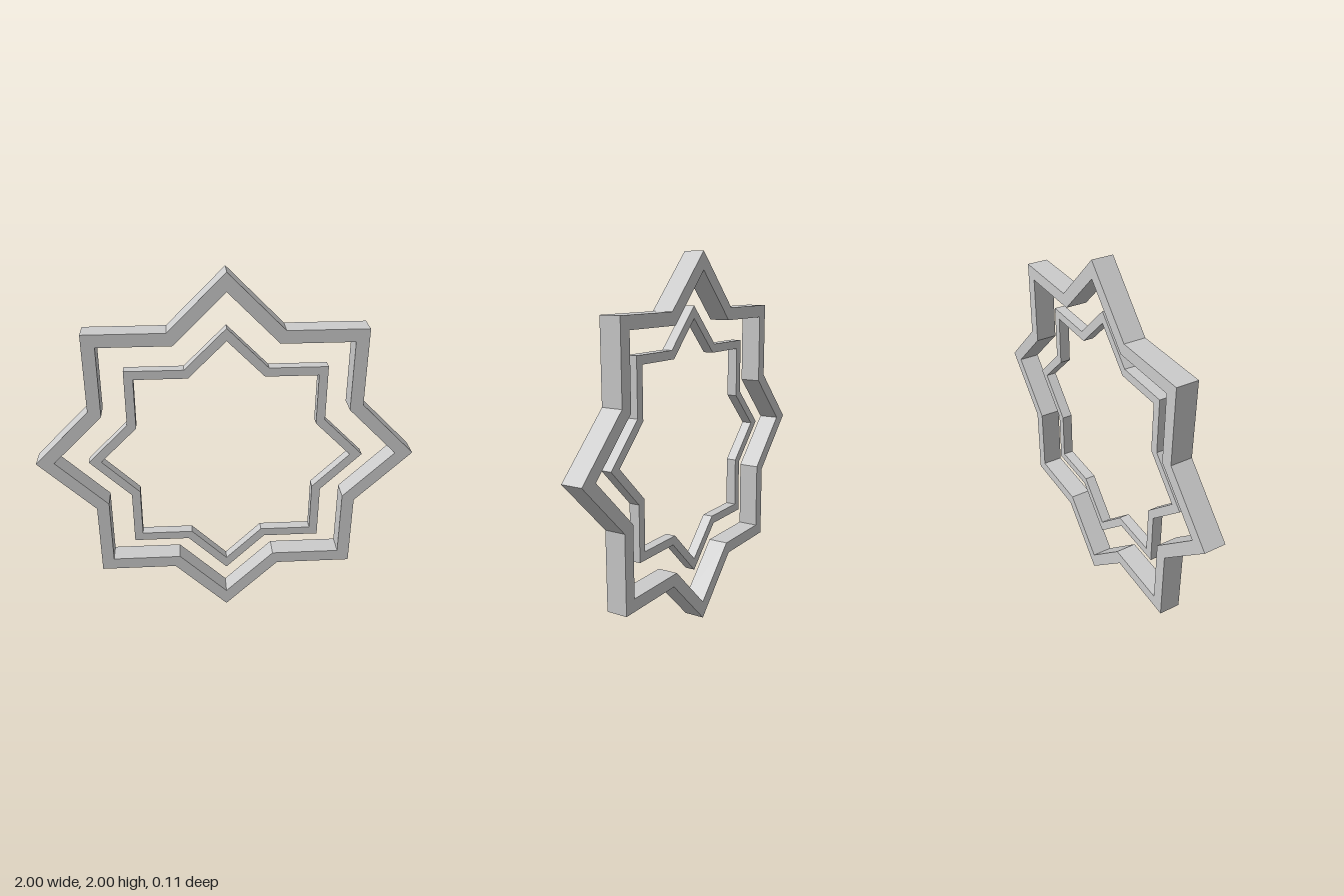
import * as THREE from 'three';

const NOTCH = Math.sin(Math.PI / 4) / Math.cos(Math.PI / 8); // notch radius / tip radius of two crossed squares

// Eight-pointed star outline with a tip pointing up
function starPoints(radius) {
  return Array.from({ length: 16 }, (_, i) => {
    const r = i % 2 ? radius * NOTCH : radius;
    const a = Math.PI / 2 + i * Math.PI / 8;
    return new THREE.Vector2(r * Math.cos(a), r * Math.sin(a));
  });
}

// Star-shaped frame spanning backZ..frontZ
function starFrame(name, outer, inner, backZ, frontZ) {
  const shape = new THREE.Shape(starPoints(outer));
  shape.holes.push(new THREE.Path(starPoints(inner)));
  const geometry = new THREE.ExtrudeGeometry(shape, { depth: frontZ - backZ, bevelEnabled: false });
  const material = new THREE.MeshStandardMaterial({ color: 0xcccccc, flatShading: true });
  const mesh = new THREE.Mesh(geometry, material);
  mesh.name = name;
  mesh.position.set(0, 1, backZ);
  return mesh;
}

export function createModel() {
  const group = new THREE.Group();
  group.name = 'starFrames';
  // Thick outer frame, and a thinner inner frame flush with its front
  group.add(starFrame('outerStarFrame', 1, 0.905, -0.057, 0.057));
  group.add(starFrame('innerStarFrame', 0.725, 0.66, 0, 0.057));
  return group;
}
